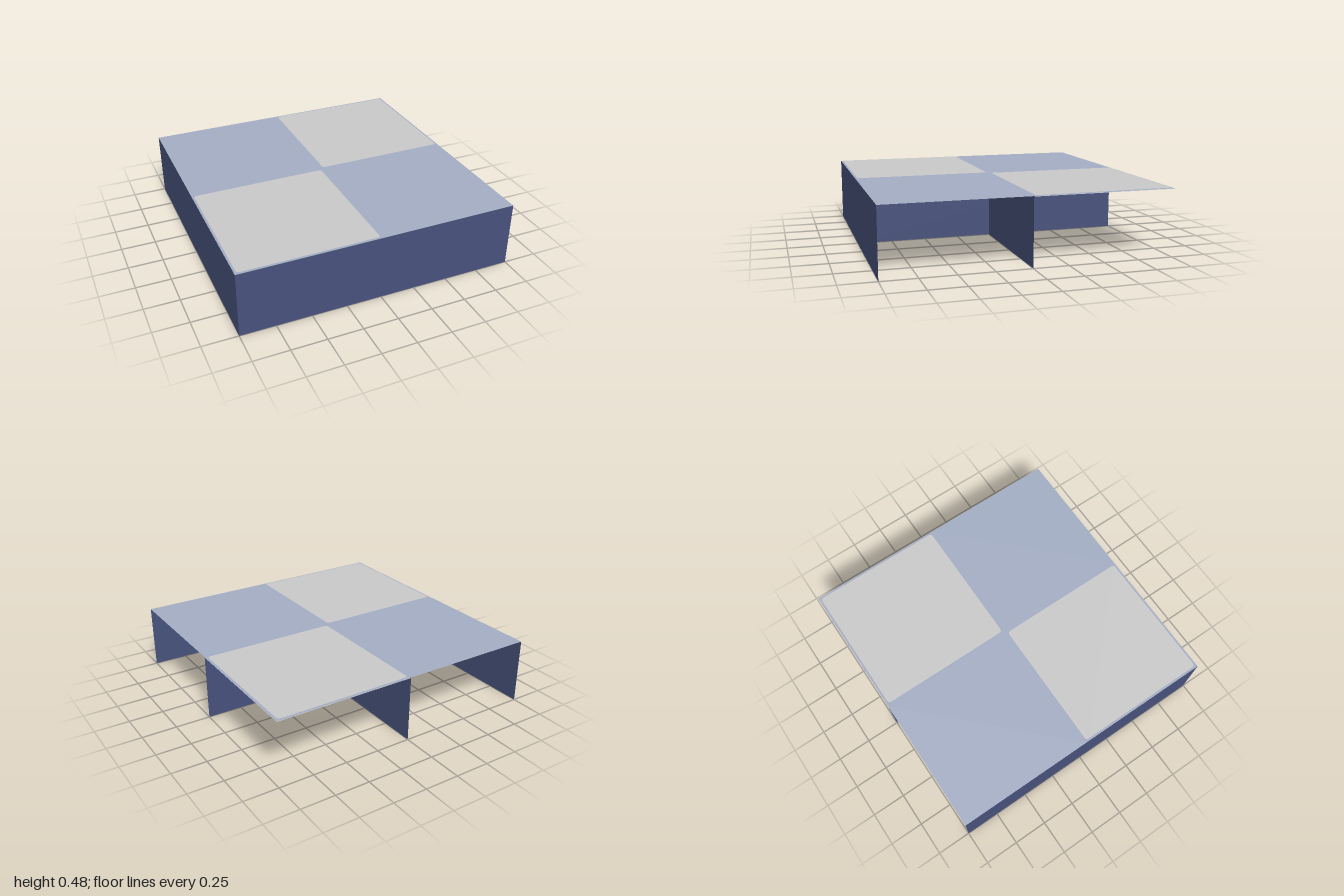
import * as THREE from 'three';

const H = 0.475; // height of the walls and the top sheet

export function createModel() {
  const model = new THREE.Group();
  const mat = (name, color, side = THREE.DoubleSide) => {
    const m = new THREE.MeshStandardMaterial({ color, side });
    m.name = name;
    return m;
  };
  const navy = mat('navy', 0x48537d);
  const blue = mat('pale blue', 0xa4aec4);
  const grey = mat('light grey', 0xcacaca);

  const add = (name, geometry, material, x, y, z, rx = 0, ry = 0) => {
    const mesh = new THREE.Mesh(geometry, material);
    mesh.name = name;
    mesh.position.set(x, y, z);
    mesh.rotation.set(rx, ry, 0);
    model.add(mesh);
  };

  // Thin walls: one pair along the left-hand cells, one pair across the front cells
  const wall = new THREE.PlaneGeometry(2, H);
  add('frontWall', wall, navy, 0, H / 2, 1);
  add('middleCrossWall', wall, navy, 0, H / 2, 0);
  add('sideWall', wall, navy, -1, H / 2, 0, 0, Math.PI / 2);
  add('middleLongWall', wall, navy, 0, H / 2, 0, 0, Math.PI / 2);

  // Rounded inset panel for the grey cells
  const a = 0.485, r = 0.025;
  const s = new THREE.Shape();
  s.moveTo(-a + r, -a);
  s.lineTo(a - r, -a).quadraticCurveTo(a, -a, a, -a + r);
  s.lineTo(a, a - r).quadraticCurveTo(a, a, a - r, a);
  s.lineTo(-a + r, a).quadraticCurveTo(-a, a, -a, a - r);
  s.lineTo(-a, -a + r).quadraticCurveTo(-a, -a, -a + r, -a);
  const panel = new THREE.ShapeGeometry(s);
  const cell = new THREE.PlaneGeometry(1, 1);

  // Checkered top: blue sheet over all cells, grey panels and undersides on one diagonal
  for (const x of [-0.5, 0.5]) {
    for (const z of [-0.5, 0.5]) {
      add('topSheet', cell, blue, x, H, z, -Math.PI / 2);
      if (x * z < 0) {
        add('greyPanel', panel, grey, x, H + 0.003, z, -Math.PI / 2);
        add('greyUnderside', cell, grey, x, H - 0.003, z, Math.PI / 2);
      }
    }
  }
  return model;
}
